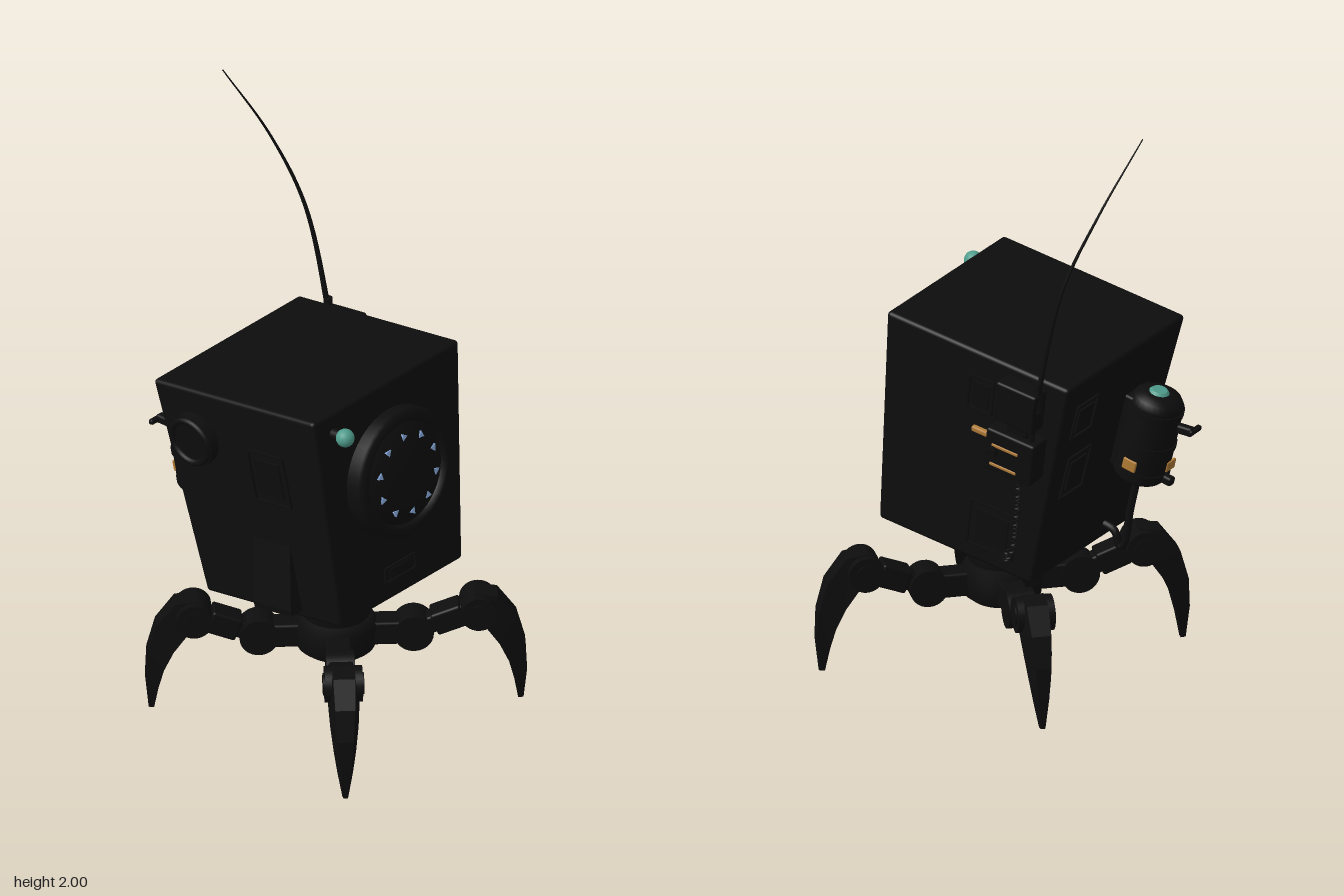
import * as THREE from 'three';
import { RoundedBoxGeometry } from 'three/addons/geometries/RoundedBoxGeometry.js';

const mat = (color) => new THREE.MeshStandardMaterial({ color });
const dark = mat(0x0d0d0d), teal = mat(0x4f9c8c), blue = mat(0x8fb4e8), orange = mat(0xb07a35);
const V = (x, y, z) => new THREE.Vector3(x, y, z);

const BODY_H = 0.755, BOTTOM = 0.2875, TOP = 0.345;

function add(parent, name, geometry, material, x = 0, y = 0, z = 0) {
  const mesh = new THREE.Mesh(geometry, material);
  mesh.name = name;
  mesh.position.set(x, y, z);
  parent.add(mesh);
  return mesh;
}
const box = (w, h, d, r = 0.008) => new RoundedBoxGeometry(w, h, d, 2, Math.min(r, d / 3));
// cylinder lying along z
const disc = (r, d, n = 32) => new THREE.CylinderGeometry(r, r, d, n).rotateX(Math.PI / 2);
const lathe = (pts, n = 40) => new THREE.LatheGeometry(pts.map((p) => new THREE.Vector2(...p)), n);

// tube whose radius shrinks linearly from r0 to r1
function taperedTube(points, r0, r1, segments = 40, sides = 8) {
  const curve = new THREE.CatmullRomCurve3(points);
  const g = new THREE.TubeGeometry(curve, segments, r0, sides);
  const pos = g.attributes.position, v = V(0, 0, 0);
  for (let i = 0; i < pos.count; i++) {
    const t = Math.floor(i / (sides + 1)) / segments;
    v.fromBufferAttribute(pos, i).lerp(curve.getPointAt(t), t * (1 - r1 / r0));
    pos.setXYZ(i, v.x, v.y, v.z);
  }
  return g;
}

// loft of rectangles through rows of [inner x, inner y, outer x, outer y, half width]
function clawGeometry() {
  const rows = [
    [0.43, 0.31, 0.44, 0.4, 0.05], [0.475, 0.28, 0.51, 0.39, 0.05], [0.515, 0.22, 0.57, 0.31, 0.045],
    [0.545, 0.15, 0.598, 0.21, 0.036], [0.562, 0.08, 0.603, 0.11, 0.025], [0.575, 0, 0.592, 0, 0.01],
  ];
  const p = [], idx = [];
  rows.forEach(([ix, iy, ox, oy, w]) => p.push(ix, iy, -w, ox, oy, -w * 0.7, ox, oy, w * 0.7, ix, iy, w));
  for (let i = 0; i < rows.length - 1; i++) {
    for (let j = 0; j < 4; j++) {
      const a = i * 4 + j, b = i * 4 + ((j + 1) % 4);
      idx.push(a, b, a + 4, b, b + 4, a + 4);
    }
  }
  const e = (rows.length - 1) * 4;
  idx.push(0, 2, 1, 0, 3, 2, e, e + 1, e + 2, e, e + 2, e + 3);
  const g = new THREE.BufferGeometry();
  g.setAttribute('position', new THREE.Float32BufferAttribute(p, 3));
  g.setIndex(idx);
  const flat = g.toNonIndexed();
  flat.computeVertexNormals();
  return flat;
}

function makeLeg(angle) {
  const leg = new THREE.Group();
  leg.name = 'leg';
  leg.position.z = 0.1;
  leg.rotation.y = angle;
  add(leg, 'hipBracket', box(0.14, 0.08, 0.08), dark, 0.16, 0.265, 0);
  add(leg, 'hipJoint', disc(0.062, 0.09), dark, 0.245, 0.265, 0);
  const link = add(leg, 'upperLeg', box(0.2, 0.06, 0.06), dark, 0.345, 0.303, 0);
  link.rotation.z = 0.36;
  const sleeve = add(leg, 'legSleeve', box(0.1, 0.078, 0.078), dark, 0.355, 0.306, 0);
  sleeve.rotation.z = 0.36;
  add(leg, 'kneeJoint', disc(0.058, 0.12), dark, 0.45, 0.338, 0);
  add(leg, 'kneeCap', disc(0.035, 0.13), dark, 0.45, 0.338, 0);
  add(leg, 'claw', clawGeometry(), dark);
  return leg;
}

// frame on one wall of the body: x across, y up the wall, z outward
function makeWall(body, name, angle) {
  const turn = new THREE.Group(), wall = new THREE.Group();
  wall.name = name;
  turn.rotation.y = angle;
  wall.position.z = BOTTOM;
  wall.rotation.x = Math.atan((TOP - BOTTOM) / BODY_H);
  turn.add(wall);
  body.add(turn);
  return wall;
}

// thin raised frame with a plate inside
function panel(wall, x, y, w, h) {
  for (const s of [-1, 1]) {
    add(wall, 'panelFrame', new THREE.BoxGeometry(w, 0.008, 0.014), dark, x, y + s * h / 2, 0);
    add(wall, 'panelFrame', new THREE.BoxGeometry(0.008, h, 0.014), dark, x + s * w / 2, y, 0);
  }
  add(wall, 'panelPlate', new THREE.BoxGeometry(w * 0.7, h * 0.7, 0.012), dark, x, y, 0);
}

function makeFront(wall) {
  const eye = new THREE.Group();
  eye.name = 'eye';
  eye.position.set(0, 0.445, 0);
  eye.rotation.x = -0.06;
  wall.add(eye);
  const rim = lathe([[0.215, -0.03], [0.215, 0.052], [0.207, 0.062], [0.185, 0.068], [0.175, 0.06], [0.17, 0.05]]);
  add(eye, 'eyeRim', rim.rotateX(Math.PI / 2), dark).material = dark;
  const lens = lathe([[0.172, 0.05], [0.15, 0.061], [0.11, 0.072], [0.06, 0.08], [0, 0.083]]);
  add(eye, 'eyeLens', lens.rotateX(Math.PI / 2), dark);
  for (let i = 0; i < 10; i++) {
    const a = (i + 0.5) * Math.PI / 5;
    const light = add(eye, 'eyeLight', disc(0.014, 0.008, 3), blue, 0.13 * Math.cos(a), 0.13 * Math.sin(a), 0.067);
    light.rotation.z = a;
  }
  add(wall, 'lampStem', disc(0.018, 0.05, 16), dark, -0.255, 0.685, 0.015);
  add(wall, 'lamp', new THREE.SphereGeometry(0.03, 20, 14), teal, -0.255, 0.685, 0.05);
  panel(wall, 0, 0.09, 0.14, 0.05);
}

function makeBack(wall) {
  const tank = new THREE.Group();
  tank.name = 'backTank';
  tank.position.set(0.125, 0.443, 0.08);
  wall.add(tank);
  add(tank, 'tankShell', lathe([[0, -0.155], [0.075, -0.155], [0.088, -0.14], [0.088, 0.12], [0.075, 0.142],
    [0.045, 0.156], [0, 0.16]], 28), dark);
  for (const y of [-0.12, -0.02, 0.1]) {
    add(tank, 'tankBand', new THREE.CylinderGeometry(0.092, 0.092, 0.02, 28), dark, 0, y, 0);
  }
  add(tank, 'tankMount', box(0.13, 0.26, 0.1), dark, 0, 0, -0.06);
  add(tank, 'tankCap', new THREE.CylinderGeometry(0.025, 0.035, 0.01, 20), teal, 0, 0.16, 0);
  add(tank, 'tankLabel', box(0.05, 0.035, 0.01), orange, 0.02, -0.085, 0.087);
  add(tank, 'tankLabel', box(0.01, 0.04, 0.05), orange, -0.087, -0.085, 0);
  const valve = add(tank, 'tankValve', box(0.03, 0.03, 0.06), dark, 0.02, 0.06, 0.11);
  valve.rotation.x = -0.2;
  add(tank, 'valveHandle', box(0.06, 0.018, 0.018), dark, 0.035, 0.065, 0.135);
  add(tank, 'drain', box(0.03, 0.03, 0.04), dark, 0, -0.125, 0.1);
  panel(wall, -0.2, 0.6, 0.12, 0.12);
  panel(wall, -0.17, 0.38, 0.13, 0.15);
}

function makeLeft(wall) {
  add(wall, 'antennaBox', box(0.15, 0.14, 0.1), dark, 0.19, 0.655, 0.015);
  add(wall, 'radioBox', box(0.18, 0.15, 0.11), dark, 0.195, 0.478, 0.02);
  add(wall, 'radioSpine', box(0.08, 0.32, 0.07), dark, 0.2, 0.565, 0.015);
  for (const y of [0.43, 0.5]) {
    add(wall, 'radioStripe', box(0.1, 0.012, 0.012), orange, 0.18, y, 0.072);
  }
  add(wall, 'radioKnob', disc(0.018, 0.03, 16), dark, 0.14, 0.48, 0.082);
  add(wall, 'latch', box(0.09, 0.02, 0.02), orange, 0.06, 0.48, 0.006);
  panel(wall, 0.03, 0.607, 0.09, 0.12);
  panel(wall, 0.125, 0.137, 0.17, 0.16);
}

function makeRight(wall) {
  add(wall, 'sidePort', disc(0.09, 0.05), dark, -0.193, 0.584, 0.01);
  add(wall, 'sidePortRing', new THREE.TorusGeometry(0.075, 0.012, 8, 32), dark, -0.193, 0.584, 0.033);
  // wedge-shaped vent hood, open at the bottom edge
  const profile = new THREE.Shape([[0, 0.26], [0, 0.03], [-0.05, 0.03], [-0.05, 0.05]]
    .map((p) => new THREE.Vector2(...p)));
  const hood = new THREE.ExtrudeGeometry(profile, { depth: 0.16, bevelEnabled: false });
  add(wall, 'ventHood', hood.rotateY(Math.PI / 2).translate(-0.03, 0, 0), dark);
  panel(wall, 0.1, 0.5, 0.15, 0.18);
}

// coiled cable: a helix wound around a hanging path
function coiledCable() {
  const path = new THREE.CatmullRomCurve3([V(0.36, 0.85, -0.19), V(0.357, 0.7, -0.18), V(0.357, 0.55, -0.16),
    V(0.345, 0.51, -0.13), V(0.28, 0.525, -0.1)]);
  const pts = [];
  for (let i = 0; i <= 240; i++) {
    const a = i * Math.PI / 4, p = path.getPointAt(i / 240);
    pts.push(p.add(V(0.007 * Math.cos(a), 0, 0.007 * Math.sin(a))));
  }
  return new THREE.TubeGeometry(new THREE.CatmullRomCurve3(pts), 480, 0.004, 5);
}

export function createModel() {
  const model = new THREE.Group();
  model.name = 'walkerRobot';

  // tilted, downward-tapering body
  const body = new THREE.Group();
  body.name = 'body';
  body.position.set(0, 0.465, 0.095);
  body.rotation.x = -0.163;
  model.add(body);
  const shell = new RoundedBoxGeometry(2 * TOP, BODY_H, 2 * TOP, 3, 0.014).translate(0, BODY_H / 2, 0);
  const pos = shell.attributes.position;
  for (let i = 0; i < pos.count; i++) {
    const k = (BOTTOM + (TOP - BOTTOM) * pos.getY(i) / BODY_H) / TOP;
    pos.setX(i, pos.getX(i) * k);
    pos.setZ(i, pos.getZ(i) * k);
  }
  add(body, 'bodyShell', shell, dark);
  makeFront(makeWall(body, 'frontWall', 0));
  makeLeft(makeWall(body, 'leftWall', Math.PI / 2));
  makeBack(makeWall(body, 'backWall', Math.PI));
  makeRight(makeWall(body, 'rightWall', -Math.PI / 2));

  // bellows neck and hub
  const bellows = [[0.09, 0.3]];
  for (let i = 0; i < 5; i++) bellows.push([0.108, 0.335 + i * 0.03], [0.095, 0.35 + i * 0.03]);
  add(model, 'neckBellows', lathe(bellows), dark, 0, 0, 0.1);
  add(model, 'neckCollar', new THREE.CylinderGeometry(0.125, 0.11, 0.05, 40), dark, 0, 0.455, 0.1);
  add(model, 'hub', lathe([[0, 0.2], [0.1, 0.2], [0.125, 0.22], [0.13, 0.3], [0.11, 0.33], [0, 0.335]]), dark, 0, 0, 0.1);

  for (let i = 0; i < 4; i++) model.add(makeLeg(Math.PI / 4 + i * Math.PI / 2));

  // whip antenna, cable and drain pipe
  add(model, 'antenna', taperedTube([V(0.375, 0.93, -0.24), V(0.373, 1.15, -0.275), V(0.345, 1.5, -0.345),
    V(0.28, 1.75, -0.435), V(0.165, 2, -0.53)], 0.011, 0.002), dark);
  add(model, 'antennaBase', new THREE.CylinderGeometry(0.014, 0.018, 0.1, 12), dark, 0.373, 1.12, -0.27);
  add(model, 'cable', coiledCable(), dark);
  add(model, 'drainPipe', taperedTube([V(-0.125, 0.7, -0.335), V(-0.125, 0.55, -0.3), V(-0.125, 0.42, -0.275),
    V(-0.125, 0.41, -0.26), V(-0.125, 0.46, -0.24), V(-0.125, 0.48, -0.18)], 0.013, 0.013), dark);

  // open shells show from both sides
  dark.side = THREE.DoubleSide;
  return model;
}
